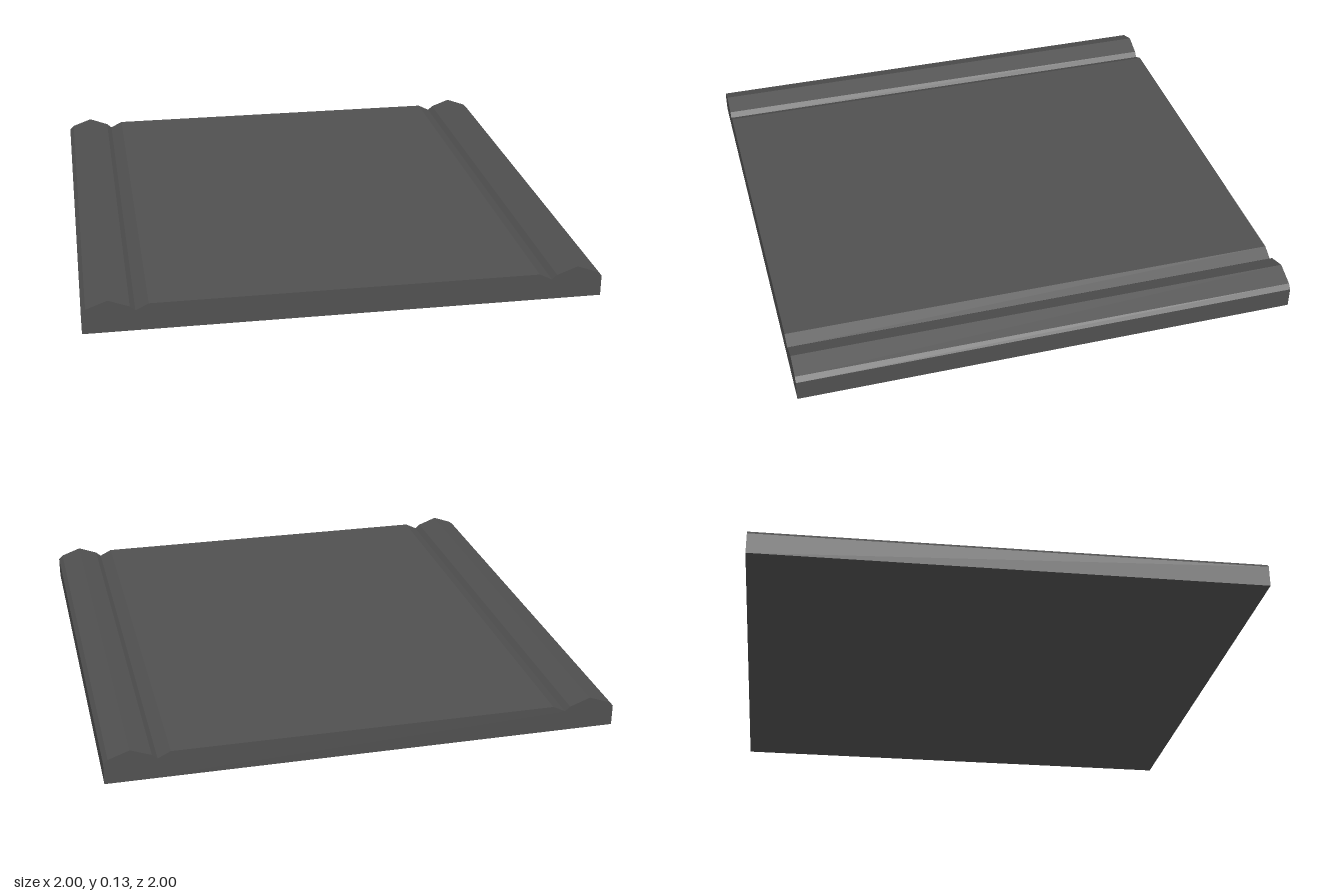
import * as THREE from 'three';

export function createModel() {
  const group = new THREE.Group();
  group.name = 'roadTile';

  const asphalt = new THREE.MeshStandardMaterial({ color: 0x505050 });
  asphalt.name = 'dark grey asphalt';

  // Right half of the cross-section: road edge, gutter, raised kerb, outer side
  const half = [
    [0.75, 0.107], [0.8, 0.082], [0.82, 0.1],
    [0.9, 0.13], [0.983, 0.1], [1, 0.083], [1, 0],
  ];
  const mirrored = half.map(([x, y]) => [-x, y]).reverse();
  const outline = [...mirrored, ...half].map(([x, y]) => new THREE.Vector2(x, y));

  // Road slab with kerbs, one solid strip running front to back
  const geometry = new THREE.ExtrudeGeometry(new THREE.Shape(outline), {
    depth: 2,
    bevelEnabled: false,
  });
  geometry.translate(0, 0, -1);

  const slab = new THREE.Mesh(geometry, asphalt);
  slab.name = 'roadSlabWithKerbs';
  group.add(slab);
  return group;
}
